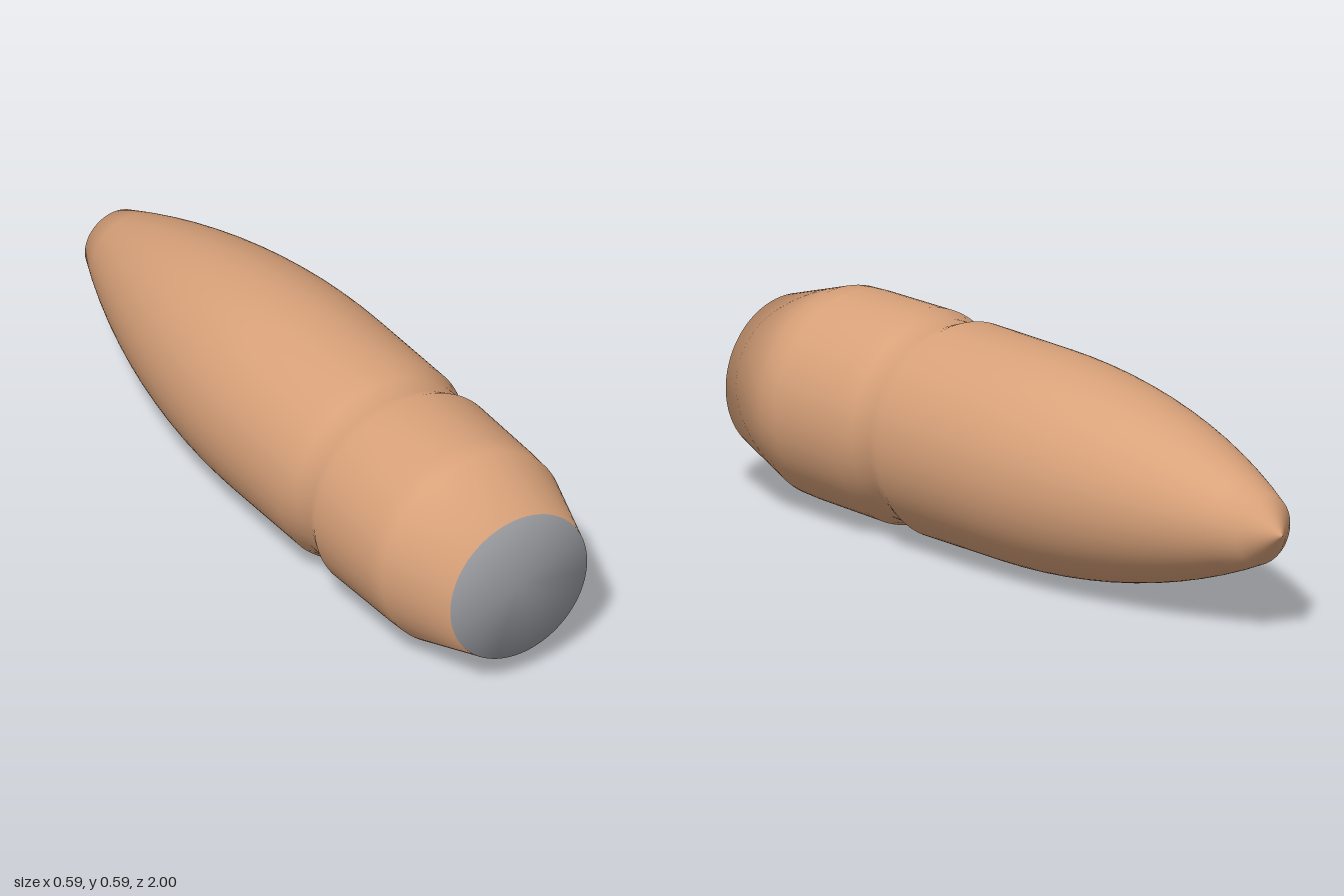
import * as THREE from 'three';

const RADIUS = 0.293;
const SEGMENTS = 96;

export function createModel() {
  const copper = new THREE.MeshStandardMaterial({ color: 0xd9a27a });
  copper.name = 'copper';
  const lead = new THREE.MeshStandardMaterial({ color: 0x97999d });
  lead.name = 'grey lead';

  // Profile as [radius, distance along the axis], from flat base to tip
  const profile = [
    [0, -1], [0.216, -1],                                         // base disc
    [0.286, -0.78], [0.289, -0.72], [RADIUS, -0.47],              // tapered tail
    [0.275, -0.425], [0.275, -0.35], [RADIUS, -0.3], [RADIUS, 0], // groove and shank
  ];
  // Curved nose: circular arc tangent to the shank
  const arc = 2.236;
  for (let i = 1; i <= 12; i++) {
    const t = (0.92 * i) / 12;
    profile.push([RADIUS - arc + Math.sqrt(arc * arc - t * t), t]);
  }
  profile.push([0, 1]); // pointed tip

  const lathe = new THREE.LatheGeometry(profile.map(([r, y]) => new THREE.Vector2(r, y)), SEGMENTS);
  const bands = profile.length - 1;

  const group = new THREE.Group();
  group.name = 'projectile';

  // Keep only some bands of the lathe, so normals stay smooth across the colour edge
  function addBands(name, material, from, to) {
    const geometry = lathe.clone();
    const source = lathe.index.array;
    const kept = [];
    for (let s = 0; s < SEGMENTS; s++) {
      for (let k = (s * bands + from) * 6; k < (s * bands + to) * 6; k++) kept.push(source[k]);
    }
    geometry.setIndex(kept);
    geometry.rotateX(-Math.PI / 2); // tip points to the back
    geometry.translate(0, RADIUS, 0);
    const mesh = new THREE.Mesh(geometry, material);
    mesh.name = name;
    group.add(mesh);
  }

  addBands('base', lead, 0, 1);
  addBands('jacket', copper, 1, bands);
  return group;
}
